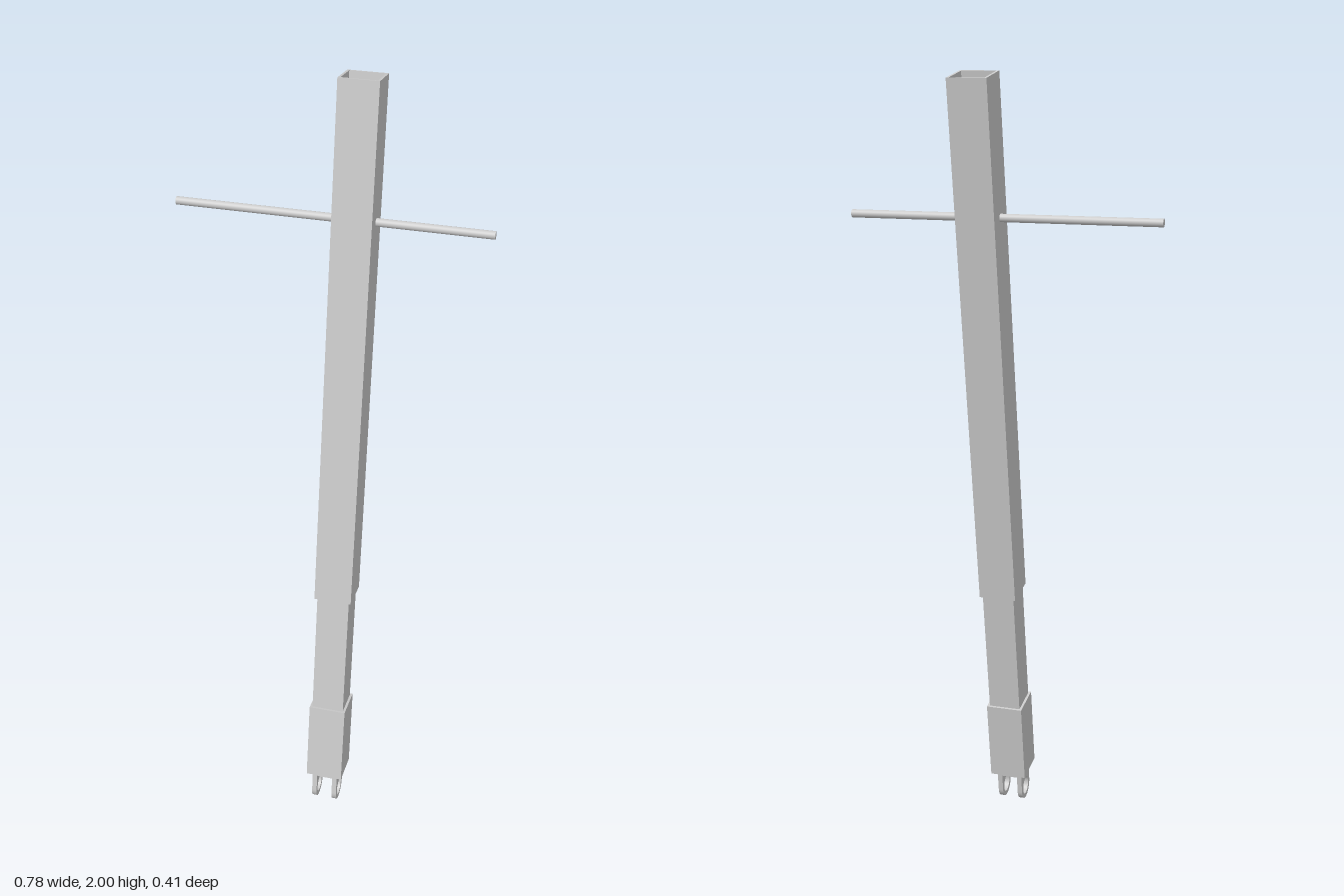
import * as THREE from 'three';

const material = new THREE.MeshStandardMaterial({ color: 0xcccccc, flatShading: true });
const smooth = new THREE.MeshStandardMaterial({ color: 0xcccccc });

function squareOutline(target, size) {
  const h = size / 2;
  target.moveTo(-h, -h);
  target.lineTo(h, -h);
  target.lineTo(h, h);
  target.lineTo(-h, h);
  target.closePath();
  return target;
}

// Hollow square section standing on the local y axis
function squareTube(name, size, wall, bottom, top) {
  const shape = squareOutline(new THREE.Shape(), size);
  shape.holes.push(squareOutline(new THREE.Path(), size - 2 * wall));
  const geometry = new THREE.ExtrudeGeometry(shape, { depth: top - bottom, bevelEnabled: false });
  geometry.rotateX(-Math.PI / 2).translate(0, bottom, 0);
  const mesh = new THREE.Mesh(geometry, material);
  mesh.name = name;
  return mesh;
}

function box(name, w, h, d, y) {
  const mesh = new THREE.Mesh(new THREE.BoxGeometry(w, h, d), material);
  mesh.position.y = y;
  mesh.name = name;
  return mesh;
}

export function createModel() {
  const model = new THREE.Group();
  model.name = 'telescopicLeg';

  // Leaning assembly: its origin is the clevis pin hole
  const leg = new THREE.Group();
  leg.name = 'leg';
  leg.position.set(0.055, 0.036, 0.165);
  leg.rotation.x = -0.163;
  model.add(leg);

  // Telescoping square tubes and foot collar
  leg.add(squareTube('outerTube', 0.098, 0.006, 0.628, 1.982));
  leg.add(squareTube('innerTube', 0.085, 0.006, 0.066, 1.0));
  leg.add(squareTube('footCollar', 0.098, 0.0065, 0.061, 0.284));
  leg.add(box('endPlate', 0.086, 0.006, 0.086, 0.064));

  // Clevis: a bridge and two rounded lugs with pin holes
  leg.add(box('clevisBridge', 0.068, 0.014, 0.068, 0.054));
  const r = 0.036, thickness = 0.013;
  const lug = new THREE.Shape();
  lug.moveTo(r, 0.061);
  lug.lineTo(-r, 0.061);
  lug.lineTo(-r, 0);
  lug.absarc(0, 0, r, Math.PI, Math.PI * 2, false);
  lug.closePath();
  lug.holes.push(new THREE.Path().absarc(0, 0, 0.024, 0, Math.PI * 2, true));
  const lugGeometry = new THREE.ExtrudeGeometry(lug, { depth: thickness, bevelEnabled: false, curveSegments: 24 });
  lugGeometry.translate(0, 0, -thickness / 2).rotateY(Math.PI / 2);
  for (const side of [-1, 1]) {
    const mesh = new THREE.Mesh(lugGeometry, smooth);
    mesh.position.x = side * 0.028;
    mesh.name = side > 0 ? 'leftLug' : 'rightLug';
    leg.add(mesh);
  }

  // Cross rod passing through the outer tube
  const rod = new THREE.Mesh(new THREE.CylinderGeometry(0.01, 0.01, 0.777, 24), smooth);
  rod.rotation.z = Math.PI / 2;
  rod.position.set(-0.0015, 1.66, -0.102);
  rod.name = 'crossRod';
  model.add(rod);

  return model;
}
